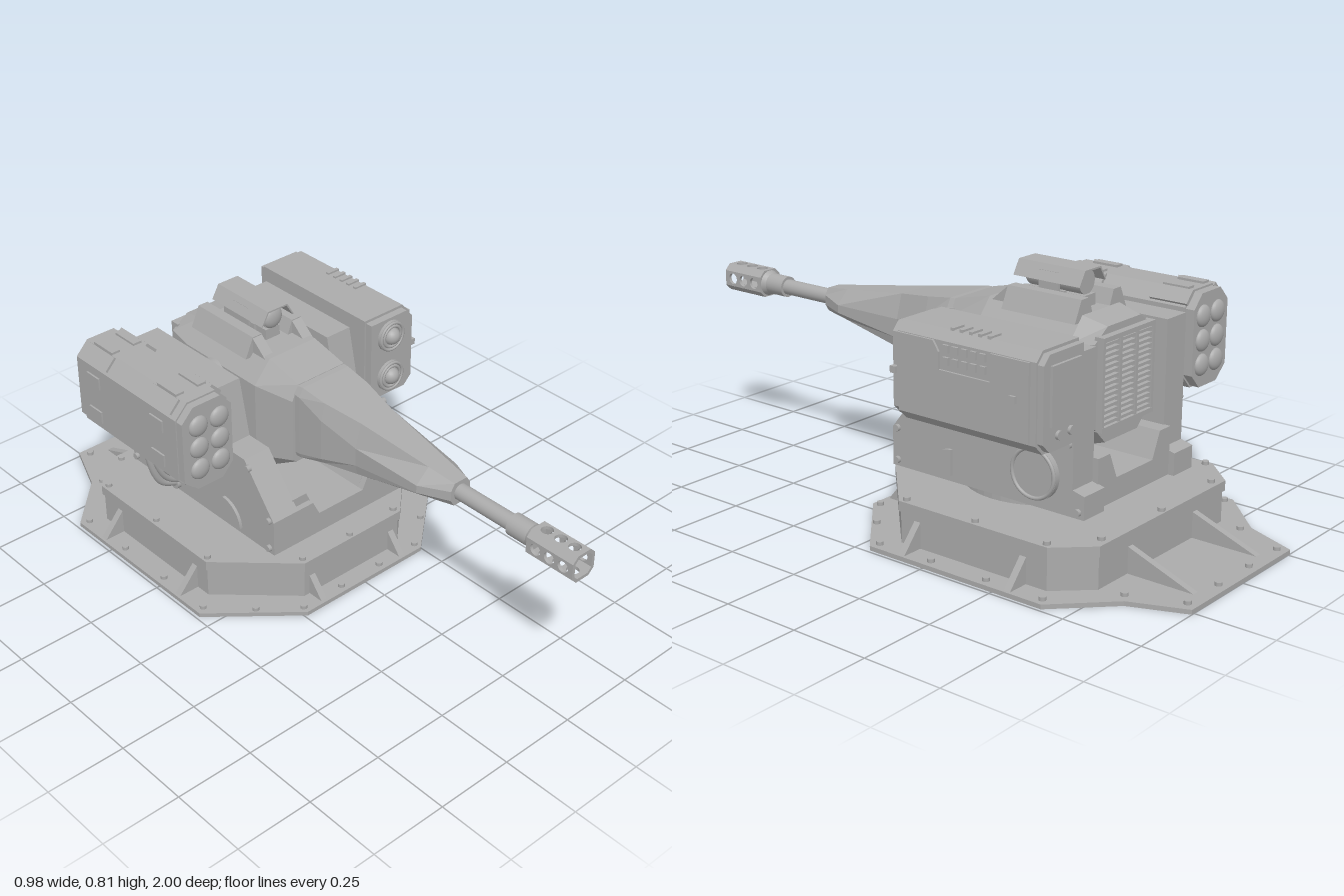
import * as THREE from 'three';

const grey = new THREE.MeshStandardMaterial({ color: 0xaaaaaa });
grey.name = 'matte grey';

const poly = (pts) => new THREE.Shape(pts.map(([a, b]) => new THREE.Vector2(a, b)));
const mirrorX = (pts) => [...pts, ...pts.slice().reverse().map(([x, z]) => [-x, z])];
const extrude = (shape, depth) => new THREE.ExtrudeGeometry(shape, { depth, bevelEnabled: false, curveSegments: 24 });

// Plan outline [x, z] raised from y0 to y1, with an optional hole
function slab(pts, y0, y1, hole) {
  const s = poly(pts.map(([x, z]) => [x, -z]));
  if (hole) s.holes.push(hole);
  return extrude(s, y1 - y0).rotateX(-Math.PI / 2).translate(0, y0, 0);
}
// Side outline [z, y] spanning x0 to x1
const sideSlab = (pts, x0, x1) => extrude(poly(pts), x1 - x0).rotateY(-Math.PI / 2).translate(x1, 0, 0);
// Front outline [x, y] spanning z0 to z1
const frontSlab = (pts, z0, z1) => extrude(poly(pts), z1 - z0).translate(0, 0, z0);

// Closed skin through mirrored sections: { z, half: [x, y] from top to bottom }, rear to front
function loft(sections) {
  const rings = sections.map(({ z, half }) => mirrorX(half).map(([x, y]) => [x, y, z]));
  const n = rings[0].length, v = [];
  for (let i = 0; i + 1 < rings.length; i++) {
    for (let j = 0; j < n; j++) {
      const k = (j + 1) % n, a = rings[i], b = rings[i + 1];
      v.push(...a[j], ...b[j], ...b[k], ...a[j], ...b[k], ...a[k]);
    }
  }
  const first = rings[0], last = rings[rings.length - 1];
  for (let j = 1; j + 1 < n; j++) {
    v.push(...first[0], ...first[j], ...first[j + 1], ...last[0], ...last[j + 1], ...last[j]);
  }
  const g = new THREE.BufferGeometry();
  g.setAttribute('position', new THREE.Float32BufferAttribute(v, 3));
  g.computeVertexNormals();
  return g;
}

export function createModel() {
  const root = new THREE.Group();
  root.name = 'turret';
  const add = (name, geo, x = 0, y = 0, z = 0, parent = root) => {
    const m = new THREE.Mesh(geo, grey);
    m.name = name;
    m.position.set(x, y, z);
    parent.add(m);
    return m;
  };
  const box = (name, w, h, d, x, y, z) => add(name, new THREE.BoxGeometry(w, h, d), x, y, z);
  const cyl = (r, h, axis = 'y', seg = 24, r2 = r) => {
    const g = new THREE.CylinderGeometry(r, r2, h, seg);
    return axis === 'x' ? g.rotateZ(-Math.PI / 2) : axis === 'z' ? g.rotateX(Math.PI / 2) : g;
  };
  const sides = [1, -1];

  // Hollow base: flange, walls and deck
  const cz = -0.315;
  const deckHalf = [[0.2, 0.107], [0.418, -0.1], [0.418, -0.635], [0.32, -0.74]];
  const deck = mirrorX(deckHalf);
  const scaled = (k) => deck.map(([x, z]) => [x * k, cz + (z - cz) * k]);
  const inner = () => new THREE.Path(scaled(0.95).map(([x, z]) => new THREE.Vector2(x, -z)));
  const round = (r, x = 0, y = 0) => new THREE.Path().absarc(x, y, r, 0, Math.PI * 2);
  const flange = mirrorX([[0.24, 0.165], [0.49, -0.05], [0.49, -0.67], [0.33, -0.83], [0.26, -1]]);
  add('baseFlange', slab(flange, 0, 0.014, inner()));
  add('baseWall', slab(scaled(0.985), 0.014, 0.113, inner()));
  add('baseDeck', slab(deck, 0.113, 0.145, round(0.2, 0, 0.297)));
  add('turntable', slab([...Array(48)].map((_, i) => {
    const a = i * Math.PI / 24;
    return [0.235 * Math.cos(a), -0.297 - 0.235 * Math.sin(a)];
  }), 0.145, 0.182, round(0.2, 0, 0.297)));

  // Bolts and triangular ribs around the base
  const flangeBolts = [[0.08, 0.14], [0.235, 0.14], [0.35, 0.05], [0.463, -0.065], [0.463, -0.26], [0.463, -0.46],
    [0.463, -0.655], [0.3, -0.81], [0.235, -0.97], [0.08, -0.97]];
  const deckBolts = [[0.19, 0.085], [0.4, -0.115], [0.4, -0.37], [0.4, -0.62], [0.28, -0.715]];
  for (const s of sides) {
    for (const [x, z] of flangeBolts) add('flangeBolt', cyl(0.011, 0.012, 'y', 10), s * x, 0.019, z);
    for (const [x, z] of deckBolts) add('deckBolt', cyl(0.011, 0.012, 'y', 10), s * x, 0.15, z);
    const rib = (pts) => sideSlab(pts, s * 0.165 - 0.011, s * 0.165 + 0.011);
    add('frontRib', rib([[0.09, 0.014], [0.155, 0.014], [0.09, 0.095]]));
    add('rearRib', rib([[-0.72, 0.014], [-0.95, 0.014], [-0.72, 0.1]]));
    for (const z of [-0.165, -0.548]) {
      add('sideRib', frontSlab([[s * 0.4, 0.014], [s * 0.482, 0.014], [s * 0.4, 0.108]], z - 0.011, z + 0.011));
    }
  }
  for (const z of [0.09, -0.725]) add('deckBolt', cyl(0.011, 0.012, 'y', 10), 0, 0.15, z);

  // Yoke: trough and two arms
  add('yokeTrough', frontSlab(mirrorX([[0.09, 0.25], [0.125, 0.33], [0.18, 0.33], [0.18, 0.18]]), -0.63, 0.03));
  add('yokeLip', frontSlab(mirrorX([[0.09, 0.25], [0.115, 0.3], [0.18, 0.3], [0.18, 0.18]]), 0.03, 0.05));
  const arm = [[0.05, 0.18], [0.05, 0.3], [-0.08, 0.465], [-0.17, 0.465], [-0.21, 0.65], [-0.61, 0.65],
    [-0.61, 0.26], [-0.65, 0.25], [-0.65, 0.18]];
  const armBolts = [[0.03, 0.2], [0.03, 0.3], [-0.06, 0.445], [-0.63, 0.2], [-0.595, 0.39]];
  const fan = new THREE.Shape().moveTo(-0.18, 0.2).lineTo(-0.18, 0.28).absarc(-0.18, 0.2, 0.08, Math.PI / 2, 0, true);
  for (const s of sides) {
    const span = (a, b) => (s > 0 ? [a, b] : [-b, -a]);
    add('yokeArm', sideSlab(arm, ...span(0.176, 0.272)));
    add('trunnion', cyl(0.083, 0.06, 'x', 32), s * 0.16, 0.553, -0.36);
    add('armCover', cyl(0.08, 0.018, 'x', 40), s * 0.28, 0.285, -0.485);
    add('armCoverRing', new THREE.TorusGeometry(0.073, 0.006, 8, 40).rotateY(Math.PI / 2), s * 0.289, 0.285, -0.485);
    add('quarterCover', extrude(fan, 0.012).rotateY(-Math.PI / 2), s > 0 ? 0.282 : -0.27);
    for (const [z, y] of armBolts) add('armBolt', cyl(0.011, 0.014, 'x', 10), s * 0.276, y, z);
    box('podMount', 0.03, 0.16, 0.25, s * 0.28, 0.553, -0.4);
  }

  // Receiver housing between the arms
  const body = [[0.09, 0.7], [0.15, 0.63], [0.15, 0.38], [0.085, 0.315]];
  add('receiver', loft([
    { z: -0.58, half: [[0.08, 0.68], [0.14, 0.64], [0.14, 0.4], [0.08, 0.34]] },
    { z: -0.5, half: body },
    { z: -0.17, half: body },
    { z: -0.04, half: [[0.09, 0.67], [0.115, 0.62], [0.115, 0.41], [0.1, 0.4]] },
  ]));
  for (let i = 0; i < 15; i++) box('rearLouver', 0.235, 0.009, 0.024, 0, 0.405 + i * 0.0165, -0.585);
  for (const x of [-0.122, -0.04, 0.04, 0.122]) box('louverDivider', 0.01, 0.26, 0.03, x, 0.52, -0.586);
  for (const y of [0.39, 0.652]) box('louverFrame', 0.254, 0.014, 0.032, 0, y, -0.586);

  // Sight with its cheeks, brackets and hood
  for (const s of sides) {
    add('sightCheek', frontSlab([[s * 0.035, 0.68], [s * 0.125, 0.68], [s * 0.095, 0.745], [s * 0.06, 0.745]], -0.5, -0.24));
    add('cheekRamp', sideSlab([[-0.24, 0.69], [-0.18, 0.69], [-0.24, 0.742]], s * 0.078 - 0.018, s * 0.078 + 0.018));
    box('sightBracket', 0.007, 0.06, 0.07, s * 0.045, 0.765, -0.35);
    box('sightFoot', 0.012, 0.05, 0.09, s * 0.03, 0.715, -0.35);
  }
  add('sightTube', cyl(0.037, 0.19, 'z', 28), 0, 0.77, -0.355);
  add('sightLens', new THREE.SphereGeometry(0.036, 24, 14).scale(1, 1, 0.5), 0, 0.77, -0.262);
  box('sightBase', 0.055, 0.045, 0.2, 0, 0.712, -0.36);
  const hood = [[0.038, 0.812], [0.064, 0.768], [0.059, 0.768], [0.035, 0.807]];
  add('sightHood', frontSlab(mirrorX(hood), -0.47, -0.235));

  // Tapered shroud, barrel and muzzle brake
  add('barrelShroud', loft([
    { z: -0.18, half: [[0.09, 0.672], [0.105, 0.655], [0.105, 0.42], [0.1, 0.405]] },
    { z: -0.02, half: [[0.09, 0.668], [0.105, 0.64], [0.105, 0.44], [0.1, 0.425]] },
    { z: 0.07, half: [[0.085, 0.655], [0.1, 0.6], [0.1, 0.465], [0.09, 0.447]] },
    { z: 0.2, half: [[0.06, 0.637], [0.082, 0.56], [0.082, 0.5], [0.075, 0.467]] },
    { z: 0.45, half: [[0.034, 0.603], [0.08, 0.56], [0.08, 0.535], [0.045, 0.507]] },
    { z: 0.545, half: [[0.024, 0.59], [0.038, 0.568], [0.038, 0.537], [0.024, 0.515]] },
  ]));
  const by = 0.553;
  add('barrel', cyl(0.025, 0.23, 'z', 24), 0, by, 0.65);
  add('barrelCollar', cyl(0.034, 0.085, 'z', 24), 0, by, 0.792);
  add('muzzleStep', cyl(0.042, 0.015, 'z', 24, 0.034), 0, by, 0.828);
  const muzzle = new THREE.Group();
  muzzle.name = 'muzzleBrake';
  muzzle.position.y = by;
  root.add(muzzle);
  for (let i = 0; i < 8; i++) {
    const wide = i % 2 === 0, hw = wide ? 0.025 : 0.0135, d = wide ? 0.044 : 0.0488;
    const s = poly([[-hw, -0.835], [-hw, -1], [hw, -1], [hw, -0.835]]);
    if (wide) for (const z of [0.868, 0.917, 0.966]) s.holes.push(round(0.018, 0, -z));
    const g = extrude(s, 0.01).rotateX(-Math.PI / 2).translate(0, d - 0.01, 0);
    add('muzzlePlate', g, 0, 0, 0, muzzle).rotation.z = i * Math.PI / 4;
  }

  // Rocket pod on the right side
  const px = -0.376, py = 0.555;
  const podOutline = (k) => [[-0.052, 0.15], [0.052, 0.15], [0.094, 0.105], [0.094, -0.105], [0.052, -0.15],
    [-0.045, -0.15], [-0.096, -0.105], [-0.096, 0.105]].map(([x, y]) => [px + x * k, py + y * k]);
  add('rocketPod', frontSlab(podOutline(1), -0.6, -0.14));
  for (const [a, b] of [[-0.63, -0.6], [-0.14, -0.115]]) add('podEndFrame', frontSlab(podOutline(0.96), a, b));
  for (const x of [-0.41, -0.333]) {
    for (const y of [0.63, 0.555, 0.48]) {
      for (const z of [-0.63, -0.115]) add('rocketTip', new THREE.SphereGeometry(0.034, 24, 14).scale(1, 1, 0.5), x, y, z);
    }
  }
  for (const z of [-0.54, -0.23]) {
    for (const s of sides) {
      box('podLatch', 0.05, 0.012, 0.13, px + s * 0.074, 0.686, z).rotation.z = -s * 0.8;
      box('podLatchPad', 0.03, 0.01, 0.09, px + s * 0.04, 0.707, z);
    }
    for (const y of [0.612, 0.492]) box('podSideTab', 0.008, 0.04, 0.06, -0.474, y, z);
  }

  // Feed hoses from the pod to the arm
  for (let i = 0; i < 3; i++) {
    const z = -0.34 - i * 0.04, end = 0.285 - i * 0.035;
    const path = new THREE.CatmullRomCurve3([[-0.375, 0.41, z], [-0.372, 0.35 - i * 0.008, z],
      [-0.335, end + 0.025, z], [-0.265, end - 0.01, z]].map((p) => new THREE.Vector3(...p)));
    add('hose', new THREE.TubeGeometry(path, 24, 0.013, 12), 0, 0, 0);
    add('hoseCollar', cyl(0.019, 0.02), -0.375, 0.396, z);
    add('hoseSocket', cyl(0.02, 0.018, 'x'), -0.277, end - 0.008, z);
  }

  // Sensor box on the left side
  const sensor = [[0.27, 0.7], [0.43, 0.7], [0.456, 0.672], [0.456, 0.44], [0.426, 0.41], [0.27, 0.41]];
  add('sensorBox', frontSlab(sensor, -0.62, -0.14));
  const cap = sensor.map(([x, y]) => [0.362 + (x - 0.362) * 0.94, 0.555 + (y - 0.555) * 0.94]);
  for (const [a, b] of [[-0.64, -0.62], [-0.14, -0.115]]) add('sensorEndFrame', frontSlab(cap, a, b));
  add('sensorSidePanel', sideSlab([[-0.14, 0.67], [-0.27, 0.67], [-0.29, 0.64], [-0.29, 0.59], [-0.47, 0.59],
    [-0.47, 0.67], [-0.6, 0.67], [-0.6, 0.445], [-0.22, 0.445], [-0.2, 0.48], [-0.14, 0.49]], 0.455, 0.463));
  for (let i = 0; i < 5; i++) {
    const z = -0.315 - i * 0.032;
    for (const y of [0.653, 0.618]) box('sensorVent', 0.012, 0.022, 0.02, 0.458, y, z);
    box('sensorTopVent', 0.045, 0.01, 0.012, 0.41, 0.701, z);
  }
  for (const y of [0.63, 0.485]) {
    add('lensHousing', cyl(0.052, 0.014, 'z', 36), 0.355, y, -0.112);
    for (const r of [0.046, 0.035]) add('lensRing', new THREE.TorusGeometry(r, 0.005, 8, 36), 0.355, y, -0.104);
    add('lensDome', new THREE.SphereGeometry(0.028, 24, 14), 0.355, y, -0.108);
  }
  for (const z of [-0.13, -0.55]) box('sensorSideTab', 0.016, 0.02, 0.02, 0.463, 0.56, z);
  box('sensorRearPanel', 0.13, 0.17, 0.012, 0.358, 0.575, -0.643);
  for (const x of [0.33, 0.385]) add('sensorRearPort', cyl(0.013, 0.012, 'z', 16), x, 0.46, -0.643);

  // Mirrored outlines can run clockwise or cross their fold, so draw both faces
  grey.side = THREE.DoubleSide;
  return root;
}
